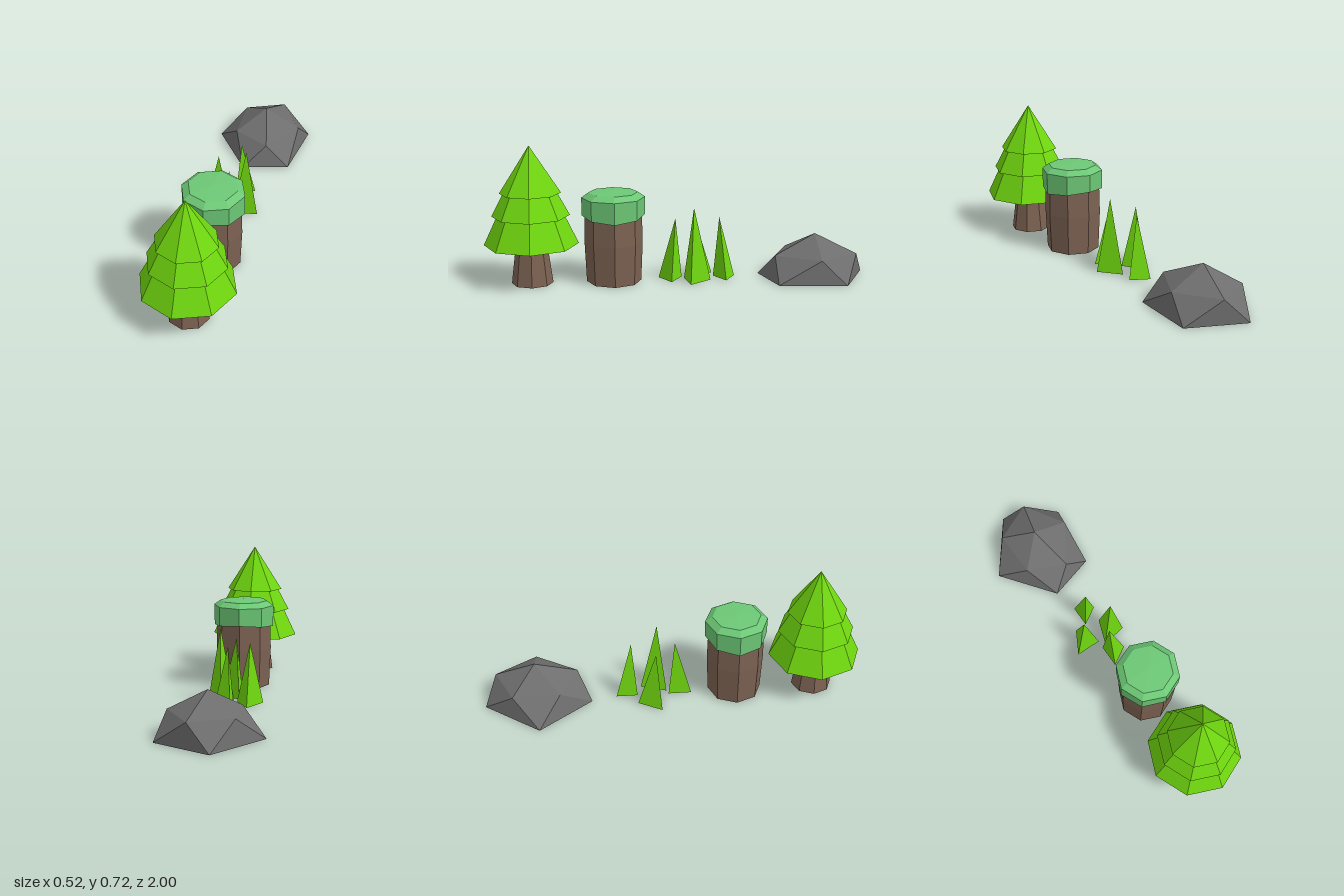
import * as THREE from 'three';
import { ConvexGeometry } from 'three/addons/geometries/ConvexGeometry.js';

const material = (name, color) => {
  const m = new THREE.MeshStandardMaterial({ color, flatShading: true });
  m.name = name;
  return m;
};

export function createModel() {
  const leaf = material('leaf green', 0x6fd60f);
  const bark = material('bark brown', 0x7c6252);
  const moss = material('moss green', 0x6dc876);
  const stone = material('stone grey', 0x6e6e6e);

  const model = new THREE.Group();
  model.name = 'forestPieces';

  const add = (parent, name, geometry, mat) => {
    const mesh = new THREE.Mesh(geometry, mat);
    mesh.name = name;
    parent.add(mesh);
    return mesh;
  };
  const group = (name, x, z) => {
    const g = new THREE.Group();
    g.name = name;
    g.position.set(x, 0, z);
    model.add(g);
    return g;
  };
  // Eight-sided turned solid from [radius, height] pairs, bottom to top
  const octagonal = (profile) =>
    new THREE.LatheGeometry(profile.map(([r, y]) => new THREE.Vector2(r, y)), 8);
  const hull = (points) =>
    new ConvexGeometry(points.map((p) => new THREE.Vector3(...p)));

  // Pine tree: tapered trunk and three stepped tiers
  const tree = group('tree', 0.015, 0.756);
  add(tree, 'treeTrunk', octagonal([[0, 0], [0.107, 0], [0.08, 0.21], [0, 0.21]]), bark);
  add(tree, 'treeFoliage', octagonal([
    [0, 0.207], [0.243, 0.207], [0.172, 0.357], [0.2, 0.357],
    [0.137, 0.475], [0.157, 0.475], [0, 0.72],
  ]), leaf);

  // Stump: slightly bulging log with a mossy cap
  const stump = group('stump', 0.013, 0.333);
  add(stump, 'stumpLog', octagonal([[0, 0], [0.142, 0], [0.151, 0.21], [0.147, 0.37], [0, 0.37]]), bark);
  const cap = octagonal([[0.14, 0.352], [0.163, 0.352], [0.164, 0.445], [0.128, 0.471], [0, 0.478]]);
  // The cap's lower rim droops towards the sides
  const pos = cap.attributes.position;
  for (let i = 0; i < pos.count; i++) {
    if (pos.getY(i) < 0.4) pos.setY(i, 0.352 - 0.02 * (pos.getX(i) / 0.163) ** 2);
  }
  add(stump, 'mossCap', cap, moss);

  // Grass: four leaning three-sided blades, apex first
  const grass = group('grass', 0, 0);
  const blades = [
    [[0.005, 0.325, -0.22], [-0.02, 0, -0.305], [0.075, 0, -0.25], [-0.02, 0, -0.192]],
    [[-0.088, 0.32, -0.095], [-0.085, 0, -0.192], [-0.016, 0, -0.068], [-0.153, 0, -0.068]],
    [[0.068, 0.39, -0.08], [0.053, 0, -0.17], [0.138, 0, -0.058], [0.005, 0, -0.035]],
    [[0, 0.322, 0.01], [-0.02, 0, -0.025], [0.08, 0, 0.037], [-0.02, 0, 0.097]],
  ];
  blades.forEach((points, i) => add(grass, `grassBlade${i + 1}`, hull(points), leaf));

  // Rock: five-sided base, staggered upper ring and a peak
  add(model, 'rock', hull([
    [-0.048, 0, -1], [0.24, 0, -0.857], [0.198, 0, -0.508], [-0.048, 0, -0.436], [-0.26, 0, -0.714],
    [0.068, 0.126, -0.942], [0.203, 0.126, -0.728], [0.068, 0.126, -0.508],
    [-0.132, 0.126, -0.6], [-0.138, 0.126, -0.847],
    [0.01, 0.227, -0.73],
  ]), stone);

  return model;
}
